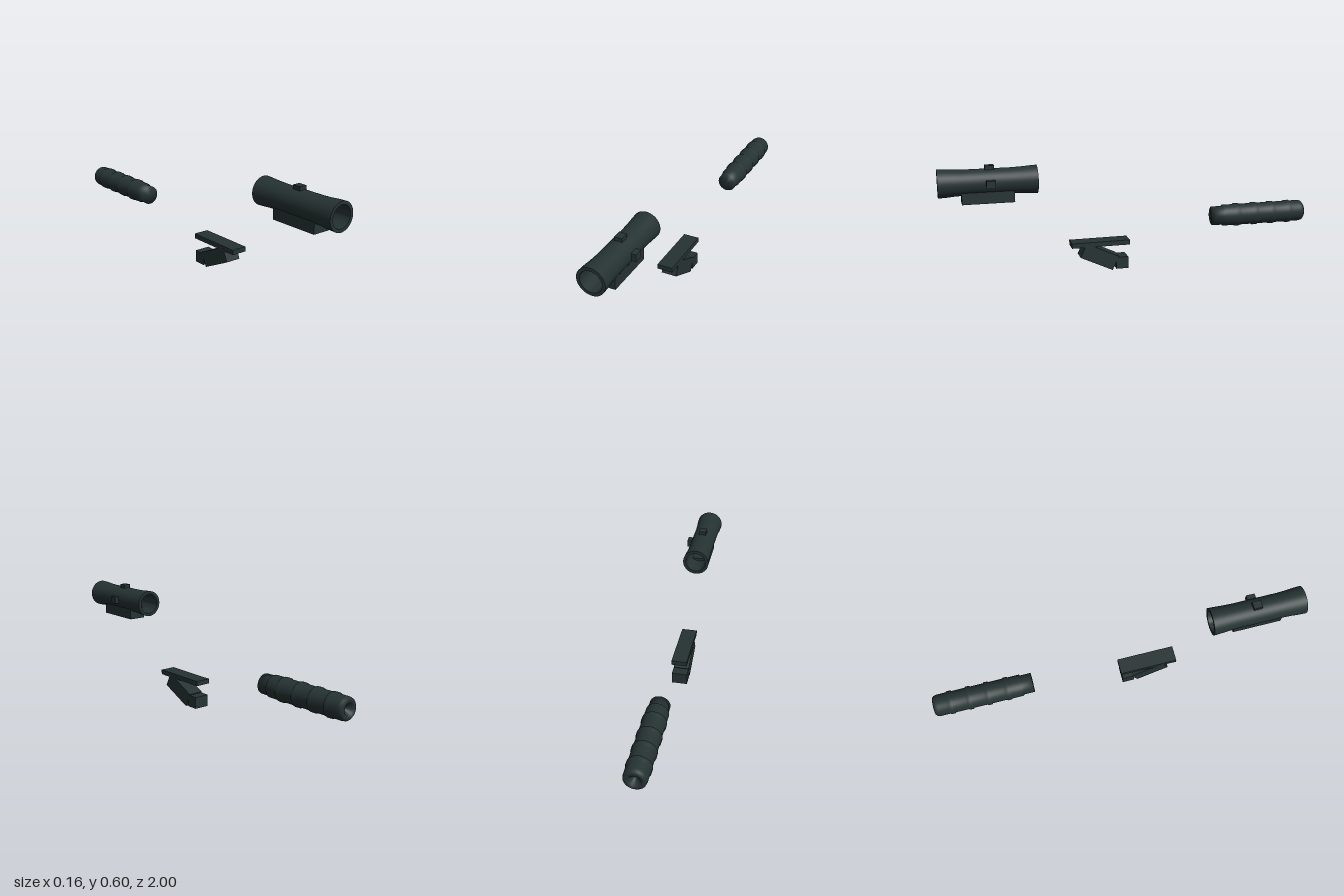
import * as THREE from 'three';
import { toCreasedNormals } from 'three/addons/utils/BufferGeometryUtils.js';

const CX = -0.008; // shared centre line of all three accessories

export function createModel() {
  const root = new THREE.Group();
  const gunmetal = new THREE.MeshStandardMaterial({ color: 0x263333 });
  gunmetal.name = 'dark gunmetal';

  const add = (parent, name, geometry) => {
    const mesh = new THREE.Mesh(geometry, gunmetal);
    mesh.name = name;
    parent.add(mesh);
    return mesh;
  };
  const group = (name) => {
    const g = new THREE.Group();
    g.name = name;
    root.add(g);
    return g;
  };
  // box given by its limits on each axis
  const box = (parent, name, [x0, x1], [y0, y1], [z0, z1]) => {
    const mesh = add(parent, name, new THREE.BoxGeometry(x1 - x0, y1 - y0, z1 - z0));
    mesh.position.set((x0 + x1) / 2, (y0 + y1) / 2, (z0 + z1) / 2);
    return mesh;
  };
  // lathe along z from [radius, z] pairs
  const latheZ = (pairs) =>
    new THREE.LatheGeometry(pairs.map(([r, z]) => new THREE.Vector2(r, z)), 40).rotateX(Math.PI / 2);

  // Scope: hollow tube flared at both ends
  const scope = group('scope');
  const tube = add(scope, 'scopeTube', toCreasedNormals(latheZ([
    [0.056, 0.5], [0.073, 0.5], [0.0715, 0.53], [0.068, 0.58], [0.066, 0.63],
    [0.066, 0.87], [0.068, 0.92], [0.0715, 0.96], [0.073, 1], [0.056, 1], [0.056, 0.5],
  ]), 0.7));
  tube.position.set(CX, 0.516, 0);
  box(scope, 'scopeMount', [-0.055, 0.04], [0.411, 0.477], [0.62, 0.885]);
  box(scope, 'elevationKnob', [-0.028, 0.012], [0.56, 0.6], [0.717, 0.763]);
  box(scope, 'windageKnob', [0.05, 0.081], [0.495, 0.534], [0.717, 0.763]);

  // Suppressor: ribbed cylinder with a rounded neck and a dimpled rear end
  const suppressor = group('suppressor');
  const profile = [[0, -0.965], [0.014, -0.975], [0.03, -0.998], [0.046, -1], [0.055, -0.992], [0.058, -0.975]];
  for (const z of [-0.91, -0.81, -0.71, -0.605]) {
    profile.push([0.058, z - 0.014], [0.0625, z - 0.011], [0.0625, z + 0.011], [0.058, z + 0.014]);
  }
  profile.push([0.058, -0.527], [0.052, -0.524], [0.052, -0.465], [0, -0.465]);
  add(suppressor, 'suppressorBody', latheZ(profile)).position.set(CX, 0.2545, 0);

  // Foregrip: rail plate, slanted handle and square stop
  const grip = group('foregrip');
  const width = [-0.05, 0.035];
  box(grip, 'railPlate', width, [0.139, 0.165], [0.015, 0.33]);
  const handle = add(grip, 'slantedHandle', new THREE.BoxGeometry(0.085, 0.082, 0.192));
  handle.position.set(CX, 0.081, 0.181);
  handle.rotation.x = -0.44;
  box(grip, 'handStop', width, [0.008, 0.072], [0.025, 0.09]);

  return root;
}
